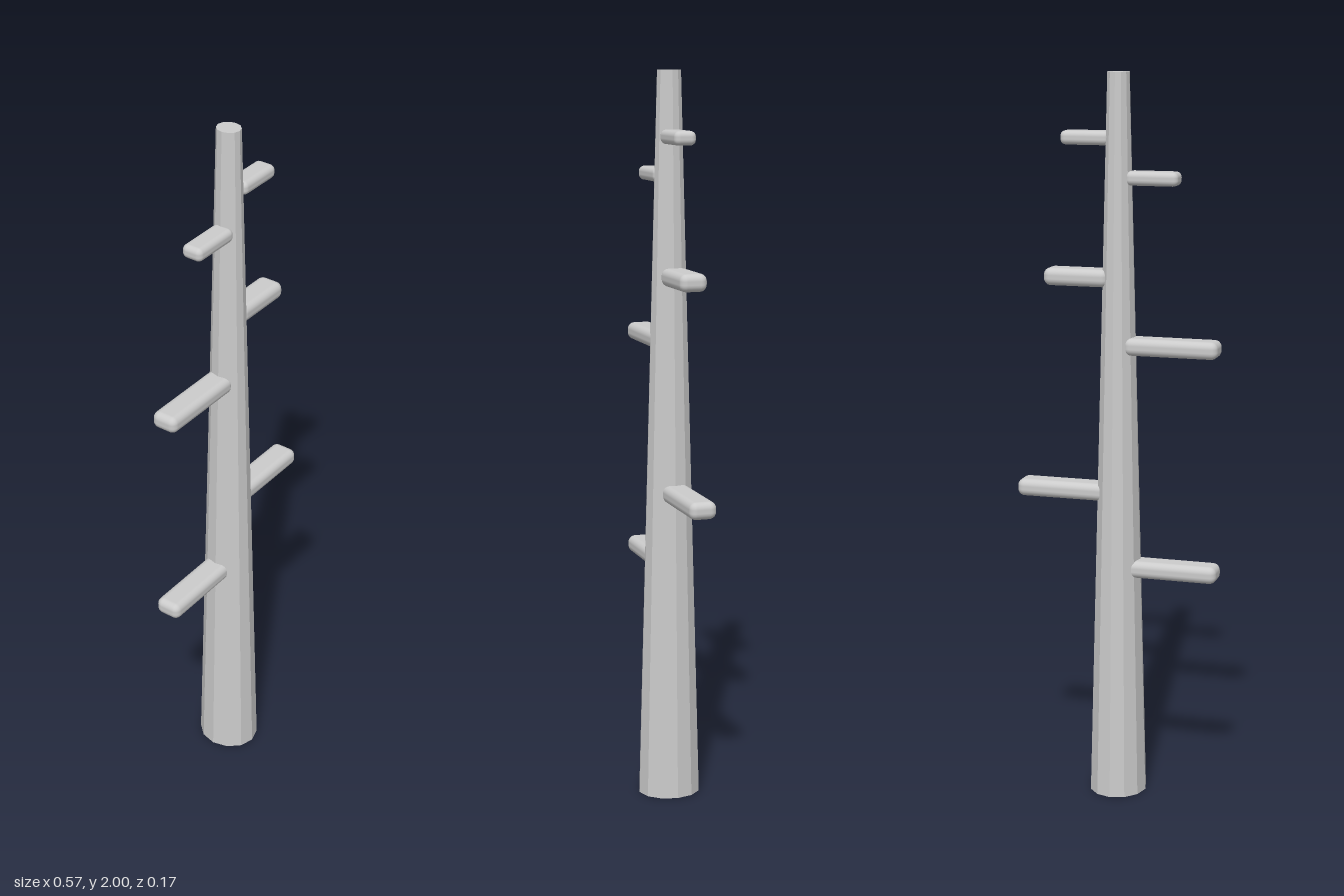
import * as THREE from 'three';
import { RoundedBoxGeometry } from 'three/addons/geometries/RoundedBoxGeometry.js';

const HEIGHT = 2;

export function createModel() {
  const model = new THREE.Group();
  model.name = 'poleWithPegs';
  const facetedGrey = new THREE.MeshStandardMaterial({ color: 0xcccccc, flatShading: true });
  const smoothGrey = new THREE.MeshStandardMaterial({ color: 0xcccccc });

  // Tapered twelve-sided pole, slightly narrower across than deep
  const pole = new THREE.Mesh(new THREE.CylinderGeometry(0.033, 0.087, HEIGHT, 12), facetedGrey);
  pole.name = 'pole';
  pole.scale.x = 0.91;
  pole.position.y = HEIGHT / 2;
  model.add(pole);

  // Horizontal pegs on alternating sides: tip x, height y, centre z, thickness, depth
  const pegs = [
    [-0.285, 0.652, -0.004, 0.048, 0.075],
    [0.283, 0.863, -0.004, 0.048, 0.075],
    [-0.283, 1.272, -0.004, 0.048, 0.075],
    [0.203, 1.454, -0.004, 0.048, 0.075],
    [-0.168, 1.722, 0.005, 0.038, 0.06],
    [0.158, 1.826, 0.005, 0.038, 0.06],
  ];
  pegs.forEach(([tip, y, z, thickness, depth], i) => {
    const root = Math.sign(tip) * 0.022;
    const length = Math.abs(tip - root);
    const peg = new THREE.Mesh(
      new RoundedBoxGeometry(length, thickness, depth, 3, thickness * 0.4), smoothGrey);
    peg.name = `${tip > 0 ? 'left' : 'right'}Peg${Math.floor(i / 2) + 1}`;
    peg.position.set((tip + root) / 2, y, z);
    model.add(peg);
  });

  return model;
}
